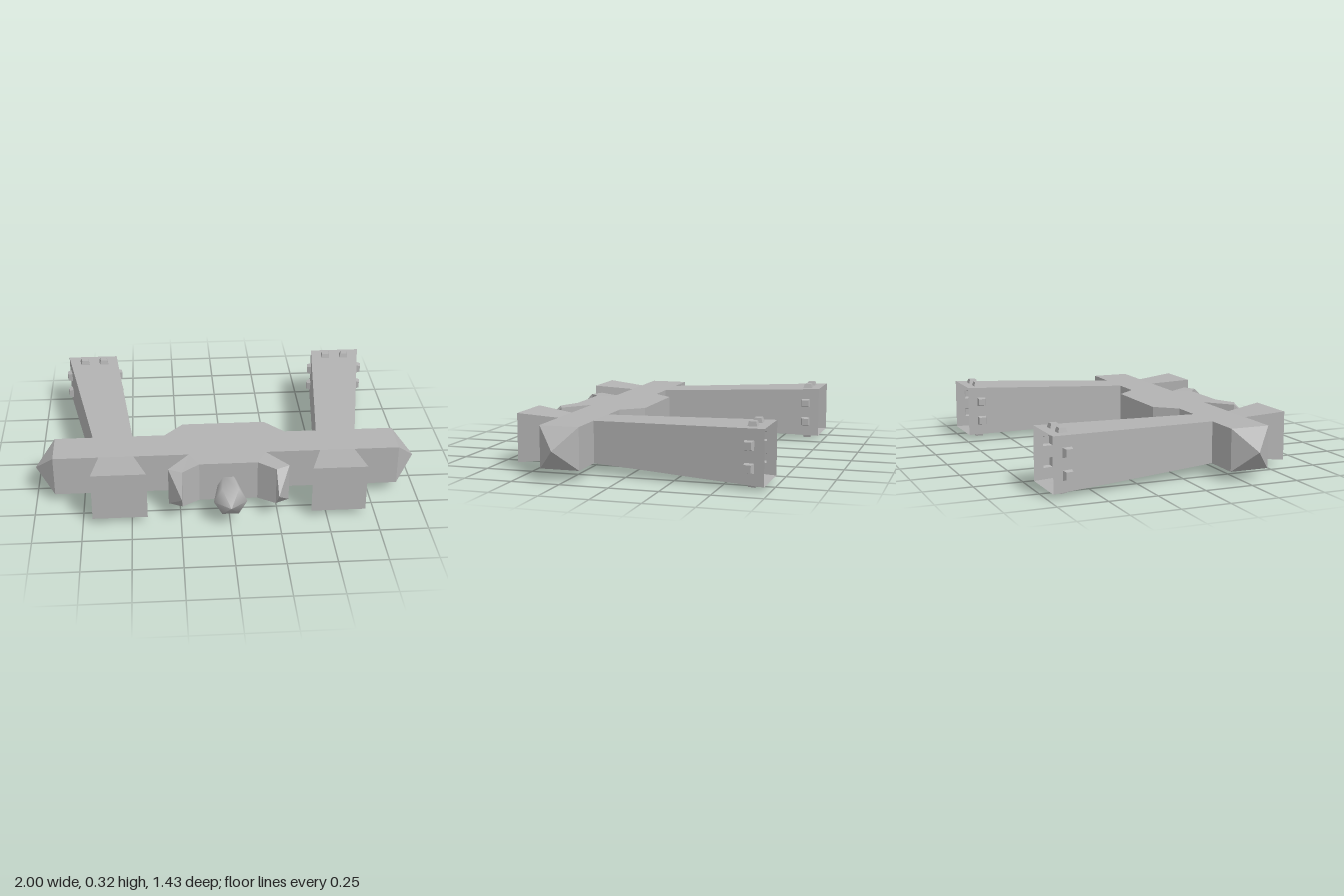
import * as THREE from 'three';
import { mergeGeometries } from 'three/addons/utils/BufferGeometryUtils.js';

const V = (x, y, z) => new THREE.Vector3(x, y, z);
const LOW = 0.055, HIGH = 0.27;

// Upright rectangle standing on the line (xa, za) to (xb, zb)
const ring = (xa, za, xb, zb, y0 = LOW, y1 = HIGH) =>
  [V(xa, y0, za), V(xb, y0, zb), V(xb, y1, zb), V(xa, y1, za)];

// Unindexed geometry, so each face keeps a flat normal
function faceted(points) {
  const g = new THREE.BufferGeometry().setFromPoints(points);
  g.computeVertexNormals();
  return g;
}

// Skin four-cornered rings; the end is capped, the start optionally
function loft(rings, capStart = true) {
  const p = [];
  for (let k = 0; k + 1 < rings.length; k++) {
    const a = rings[k], b = rings[k + 1];
    for (let i = 0; i < 4; i++) {
      const j = (i + 1) % 4;
      p.push(a[i], a[j], b[j], a[i], b[j], b[i]);
    }
  }
  const s = rings[0], e = rings[rings.length - 1];
  p.push(e[0], e[1], e[2], e[0], e[2], e[3]);
  if (capStart) p.push(s[0], s[2], s[1], s[0], s[3], s[2]);
  return faceted(p);
}

// Mirror across x = 0, keeping faces outward
function mirrored(g) {
  const a = g.attributes.position, p = [];
  for (let i = 0; i < a.count; i += 3)
    for (const k of [0, 2, 1]) p.push(V(-a.getX(i + k), a.getY(i + k), a.getZ(i + k)));
  return faceted(p);
}

const square = (u, t, hu, ht) =>
  [[u - hu, t - ht], [u + hu, t - ht], [u + hu, t + ht], [u - hu, t + ht]];

// Open shaft: four walls with holes, and a hollow stud over each hole
function shaft() {
  const a = ring(0.70, 0.185, 0.49, 0.185);
  const b = ring(0.865, -0.72, 0.585, -0.72, 0.025, 0.30);
  const walls = [], studs = [];
  for (let i = 0; i < 4; i++) {
    const j = (i + 1) % 4;
    const normal = a[j].clone().sub(a[i]).cross(b[i].clone().sub(a[i])).normalize();
    const at = (u, t, h = 0) => a[i].clone().lerp(a[j], u)
      .lerp(b[i].clone().lerp(b[j], u), t).addScaledVector(normal, h);
    const shape = new THREE.Shape([[0, 0], [1, 0], [1, 1], [0, 1]].map(q => new THREE.Vector2(...q)));
    for (const u of [0.3, 0.7]) {
      const base = square(u, 0.917, 0.09, 0.027);
      const top = square(u, 0.917, 0.068, 0.02);
      shape.holes.push(new THREE.Path(base.map(q => new THREE.Vector2(...q))));
      studs.push(loft([base.map(q => at(...q)), top.map(q => at(...q, 0.023))], false));
    }
    const flat = new THREE.ShapeGeometry(shape).toNonIndexed().attributes.position;
    const p = [];
    for (let k = 0; k < flat.count; k++) p.push(at(flat.getX(k), flat.getY(k)));
    walls.push(faceted(p));
  }
  return { walls: mergeGeometries(walls), studs: mergeGeometries(studs) };
}

export function createModel() {
  const model = new THREE.Group();
  model.name = 'model';
  const grey = new THREE.MeshStandardMaterial({ color: 0xb2b2b2, side: THREE.DoubleSide });
  grey.name = 'grey';
  const add = (name, g) => {
    const mesh = new THREE.Mesh(g, grey);
    mesh.name = name;
    model.add(mesh);
  };
  const addPair = (name, g) => {
    add('left' + name, g);
    add('right' + name, mirrored(g));
  };

  // Crossbar and central hull as one slab
  const half = [[0.22, 0.075], [0.32, 0.185], [0.9, 0.185], [0.9, 0.39], [0.2, 0.39], [0.15, 0.49]];
  const outline = [...half, ...half.map(([x, z]) => [-x, z]).reverse()];
  const hull = new THREE.ExtrudeGeometry(
    new THREE.Shape(outline.map(q => new THREE.Vector2(...q))),
    { depth: HIGH - LOW, bevelEnabled: false });
  hull.rotateX(Math.PI / 2).translate(0, HIGH, 0);
  add('hull', hull);

  // Pointed ends of the crossbar
  const tip = (x, y, z) => Array(4).fill(V(x, y, z));
  addPair('BarTip', loft([ring(0.9, 0.39, 0.9, 0.185), tip(1, 0.1625, 0.2875)]));

  // Flared blocks at the front
  addPair('FrontBlock', loft([
    ring(0.485, 0.39, 0.665, 0.39),
    ring(0.42, 0.60, 0.70, 0.60, 0.035, 0.29)]));

  // Mandibles either side of the nose
  addPair('Mandible', loft([
    ring(0.15, 0.49, 0.2, 0.39),
    ring(0.24, 0.555, 0.31, 0.52, 0.06, 0.265),
    tip(0.245, 0.1625, 0.655)]));

  // Long open shafts at the back
  const { walls, studs } = shaft();
  addPair('Shaft', walls);
  addPair('ShaftStuds', studs);

  // Six-sided smooth nose
  const nose = new THREE.LatheGeometry(
    [[0.055, 0.485], [0.085, 0.645], [0, 0.715]].map(q => new THREE.Vector2(...q)), 6, Math.PI / 2);
  nose.rotateX(Math.PI / 2).translate(0, 0.14, 0);
  add('nose', nose);

  return model;
}
